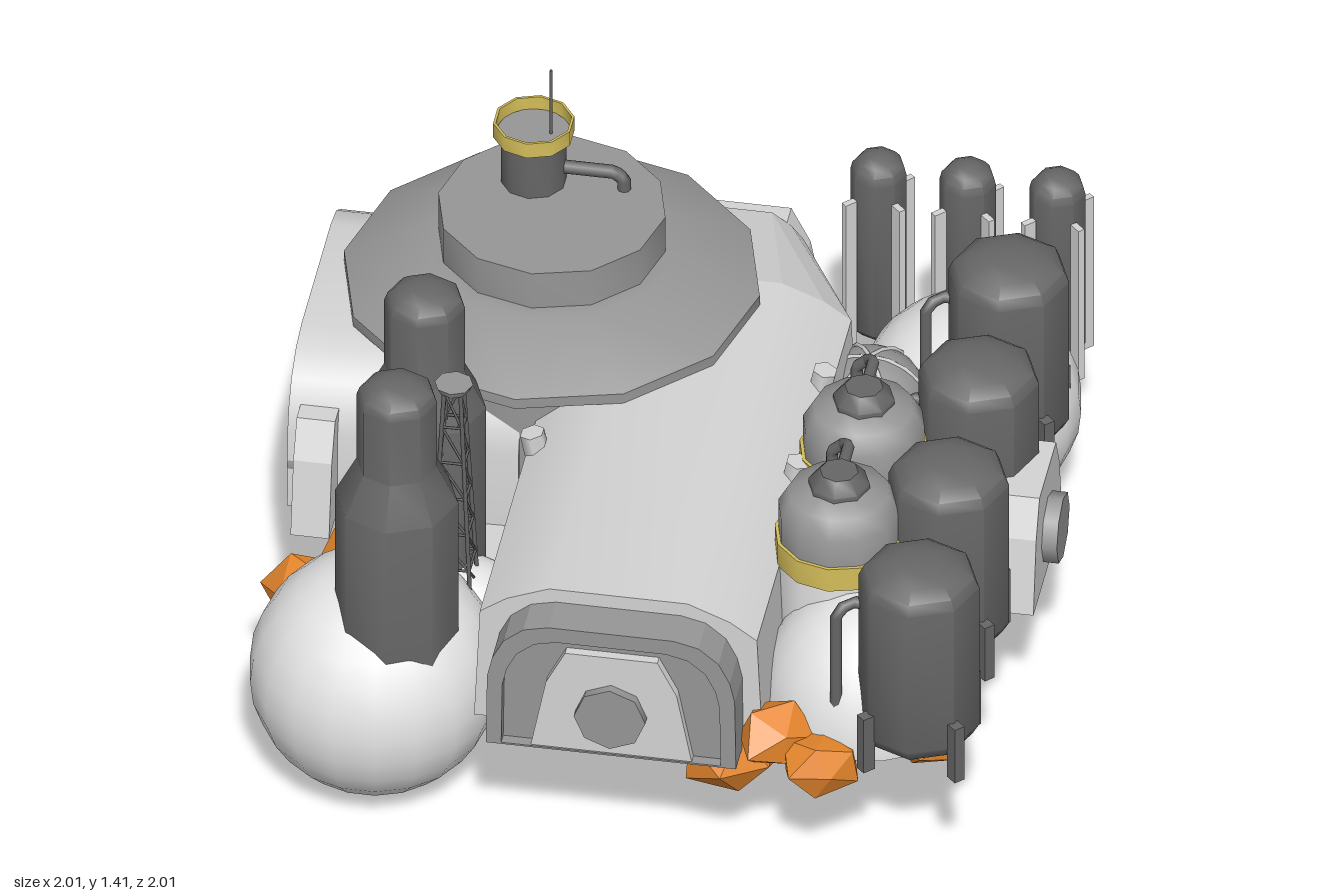
import * as THREE from 'three';
import { toCreasedNormals } from 'three/addons/utils/BufferGeometryUtils.js';

const mat = (name, color) => {
  const m = new THREE.MeshStandardMaterial({ color });
  m.name = name;
  return m;
};

export function createModel() {
  const white = mat('paleGrey', 0xe4e4e4);
  const light = mat('lightGrey', 0xd4d4d4);
  const mid = mat('midGrey', 0x969696);
  const dark = mat('darkGrey', 0x666666);
  const yellow = mat('yellow', 0xd4be5a);
  const orange = mat('orange', 0xe5862c);
  const root = new THREE.Group();

  const add = (name, geo, material, x = 0, y = 0, z = 0, parent = root) => {
    const m = new THREE.Mesh(geo, material);
    m.name = name;
    m.position.set(x, y, z);
    parent.add(m);
    return m;
  };
  const group = (name, x = 0, y = 0, z = 0) => {
    const g = new THREE.Group();
    g.name = name;
    g.position.set(x, y, z);
    root.add(g);
    return g;
  };
  // profile points are [radius, y] from bottom to top
  const lathe = (pts, sides) => toCreasedNormals(
    new THREE.LatheGeometry(pts.map(p => new THREE.Vector2(...p)), sides), 0.8);
  // rounded end of a tank, from its wall up to the axis
  const domeEnd = (r, y, h) => [0, 1, 2, 3, 4].map(i => {
    const a = i * Math.PI / 8;
    return [r * Math.cos(a), y + h * Math.sin(a)];
  });
  const pipe = (pts, r) => {
    const path = new THREE.CurvePath();
    const v = pts.map(p => new THREE.Vector3(...p));
    for (let i = 1; i < v.length; i++) path.add(new THREE.LineCurve3(v[i - 1], v[i]));
    return new THREE.TubeGeometry(path, (v.length - 1) * 6, r, 8);
  };
  const strut = (name, a, b, r, material, parent) => {
    const A = new THREE.Vector3(...a), d = new THREE.Vector3(...b).sub(A);
    const m = add(name, new THREE.CylinderGeometry(r, r, d.length(), 5), material, 0, 0, 0, parent);
    m.position.copy(A).addScaledVector(d, 0.5);
    m.quaternion.setFromUnitVectors(new THREE.Vector3(0, 1, 0), d.normalize());
  };
  const extrude = (shape, z0, z1) => new THREE.ExtrudeGeometry(shape,
    { depth: z1 - z0, bevelEnabled: false }).translate(0, 0, z0);
  // symmetric outline from right-hand points listed bottom to top
  const outline = pts => pts.concat(pts.slice().reverse().map(([x, y]) => [-x, y]))
    .map(p => new THREE.Vector2(...p));
  const arch = (w, top, base = 0.38) => {
    const h = top - base;
    return outline([[w, base], [w * 0.99, base + h * 0.55], [w * 0.95, base + h * 0.7],
      [w * 0.86, base + h * 0.85], [w * 0.7, base + h * 0.96], [w * 0.5, top]]);
  };

  // Main hall with a tapering rear
  const hallShape = new THREE.Shape(outline([[0.375, 0.38], [0.36, 0.715], [0.29, 0.765],
    [0.18, 0.81]]));
  add('hall', toCreasedNormals(extrude(hallShape, -0.5, 0.87), 0.5), light);
  const rear = extrude(hallShape, -0.91, -0.5);
  const rp = rear.attributes.position;
  for (let i = 0; i < rp.count; i++) {
    const t = (-0.5 - rp.getZ(i)) / 0.41;
    rp.setX(i, rp.getX(i) * (1 - 0.55 * t));
    rp.setY(i, 0.38 + (rp.getY(i) - 0.38) * (1 - 0.22 * t));
  }
  rear.computeVertexNormals();
  add('hallRear', rear, light);
  add('underside', lathe([[0, 0.295], [0.2, 0.3], [0.4, 0.325], [0.52, 0.39], [0, 0.4]], 24),
    light);
  const wing = extrude(new THREE.Shape(arch(0.42, 0.81)), 0.4, 1).rotateY(-Math.PI / 2);
  add('sideWing', toCreasedNormals(wing, 0.5), light, 0, 0, -0.33);

  // Front gate
  const frame = new THREE.Shape(arch(0.325, 0.77));
  frame.holes.push(new THREE.Path(arch(0.285, 0.725, 0.385)));
  add('gateFrame', extrude(frame, 0.87, 0.98), mid);
  add('gateRecess', extrude(new THREE.Shape(arch(0.3, 0.73)), 0.87, 0.95), mid);

  // Airlocks on all four sides
  const lockShape = new THREE.Shape(outline([[0.21, 0.38], [0.17, 0.59], [0.12, 0.69]]));
  [[0.975, 0], [0.97, Math.PI], [0.96, Math.PI / 2], [0.97, -Math.PI / 2]].forEach(([d, ry]) => {
    const g = group('airlock');
    add('airlockBlock', extrude(lockShape, d - 0.1, d), light, 0, 0, 0, g);
    add('airlockPort', new THREE.CylinderGeometry(0.093, 0.093, 1 - d + 0.02, 8)
      .rotateX(Math.PI / 2), mid, 0, 0.51, (1 + d - 0.02) / 2, g);
    g.rotation.y = ry;
  });
  add('rightPassage', new THREE.BoxGeometry(0.54, 0.16, 0.12), light, 0.62, 0.5, -0.07);

  // Round drum with dome roof and chimney
  const drum = group('drum', -0.4, 0, -0.4);
  add('drumWall', lathe([[0, 0.38], [0.47, 0.38], [0.47, 0.8]], 12), mid, 0, 0, 0, drum);
  add('drumRoof', lathe([[0.45, 0.79], [0.54, 0.81], [0.54, 0.84], [0.33, 0.95], [0.295, 0.95],
    [0.295, 1.06], [0, 1.06]], 12), mid, 0, 0, 0, drum);
  const chimney = group('chimney', -0.465, 0, -0.5);
  add('chimneyNeck', lathe([[0.085, 1.05], [0.085, 1.21]], 10), dark, 0, 0, 0, chimney);
  add('chimneyFloor', new THREE.CircleGeometry(0.098, 10).rotateX(-Math.PI / 2), mid,
    0, 1.213, 0, chimney);
  add('chimneyRing', lathe([[0.085, 1.2], [0.105, 1.205], [0.105, 1.25], [0.098, 1.25],
    [0.098, 1.2]], 10), yellow, 0, 0, 0, chimney);
  add('antenna', new THREE.CylinderGeometry(0.004, 0.004, 0.22, 6), dark, 0.045, 1.305, 0, chimney);
  add('chimneyPipe', pipe([[0.05, 1.11, 0], [0.21, 1.11, 0], [0.235, 1.09, 0], [0.235, 1.05, 0]],
    0.018), dark, 0, 0, 0, chimney);

  // Large spheres and half domes
  add('frontSphere', new THREE.SphereGeometry(0.325, 18, 14), white, -0.67, 0.325, 0.655);
  add('rearSphere', new THREE.SphereGeometry(0.29, 18, 14), white, 0.64, 0.38, -0.65);
  [[0.6, 0.6, 0.28, 0.33], [-0.5, -0.62, 0.28, 0.04], [-0.47, 0.42, 0.14, 0.14]]
    .forEach(([x, z, r, h]) => {
      const d = group('halfDome', x, 0.37, z);
      add('halfDomeShell', new THREE.SphereGeometry(r, 20, 8, 0, Math.PI * 2, 0, Math.PI / 2)
        .scale(1, h / r, 1), white, 0, 0, 0, d);
      add('halfDomeFloor', new THREE.CircleGeometry(r, 20).rotateX(Math.PI / 2), white, 0, 0, 0, d);
    });
  // Ribbed dome beside the hall
  const ribbed = group('ribbedDome', 0.42, 0.5, -0.43);
  add('ribbedDomeShell', new THREE.SphereGeometry(0.16, 16, 12), mid, 0, 0, 0, ribbed);
  for (let i = 0; i < 3; i++)
    add('domeRib', new THREE.TorusGeometry(0.161, 0.006, 5, 20).rotateY(i * Math.PI / 3), light,
      0, 0, 0, ribbed);

  // Tall towers
  for (const z of [0.33, 0.735])
    add('tower', lathe([[0, 0.4], [0.16, 0.4], [0.16, 0.95], [0.105, 1.06],
      ...domeEnd(0.105, 1.265, 0.06)], 8), dark, -0.6, 0, z);

  // Row of big tanks with feet and drop pipes
  for (const z of [-0.505, -0.07, 0.365, 0.8]) {
    const t = group('tank', 0.768, 0, z);
    add('tankBody', lathe([[0, 0.42], [0.1, 0.425], [0.14, 0.44], [0.157, 0.47],
      ...domeEnd(0.157, 0.91, 0.075)], 8), dark, 0, 0, 0, t);
    for (let i = 0; i < 4; i++) {
      const a = Math.PI / 4 + i * Math.PI / 2;
      add('tankFoot', new THREE.BoxGeometry(0.035, 0.17, 0.03).rotateY(-a), dark,
        Math.cos(a) * 0.165, 0.465, Math.sin(a) * 0.165, t);
    }
    add('tankPipe', pipe([[-0.13, 0.82, 0], [-0.18, 0.82, 0], [-0.21, 0.8, 0.03],
      [-0.21, 0.25, 0.03]], 0.016), dark, 0, 0, 0, t);
  }

  // Slim tanks at the rear with guard rods
  for (const x of [0.365, 0.597, 0.83]) {
    const t = group('slimTank', x, 0, -0.865);
    add('slimTankBody', lathe([[0, 0.41], [0.05, 0.415], [0.073, 0.44],
      ...domeEnd(0.073, 0.92, 0.06)], 8), dark, 0, 0, 0, t);
    for (let i = 0; i < 4; i++) {
      const a = Math.PI / 4 + i * Math.PI / 2;
      add('guardRod', new THREE.BoxGeometry(0.035, 0.48, 0.018).rotateY(-a), light,
        Math.cos(a) * 0.09, 0.62, Math.sin(a) * 0.09, t);
    }
  }

  // Banded tanks beside the hall; the front one has a narrower band
  for (const [z, low] of [[0.1, 0.66], [0.46, 0.71]]) {
    const t = group('bandedTank', 0.5, 0, z);
    add('bandedTankBase', lathe([[0, 0.39], [0.16, 0.39], [0.16, low]], 12), white, 0, 0, 0, t);
    add('bandedTankBand', lathe([[0.16, low], [0.167, low], [0.167, 0.78], [0.15, 0.78]], 12),
      yellow, 0, 0, 0, t);
    add('bandedTankTop', lathe([[0.158, 0.78], [0.158, 0.86], [0.13, 0.91], [0.07, 0.93]], 12),
      mid, 0, 0, 0, t);
    add('bandedTankCap', lathe([[0.08, 0.92], [0.08, 0.94], [0.05, 0.975], [0, 0.975]], 8),
      dark, 0, 0, 0, t);
    add('bandedTankPipe', pipe([[0, 0.95, 0], [0, 0.95, -0.14], [-0.02, 0.93, -0.17],
      [-0.05, 0.9, -0.175], [-0.05, 0.72, -0.175]], 0.016), dark, 0, 0, 0, t);
  }

  // Lattice mast
  const mast = group('latticeMast', -0.5, 0, 0.465);
  const corner = (i, k) => {
    const a = Math.PI / 4 + i * Math.PI / 2, r = 0.075 - 0.045 * k;
    return [Math.cos(a) * r, 0.45 + 0.66 * k, Math.sin(a) * r];
  };
  for (let i = 0; i < 4; i++) {
    strut('mastLeg', corner(i, 0), corner(i, 1), 0.006, dark, mast);
    for (let k = 0; k < 6; k++) {
      strut('mastBrace', corner(i, k / 6), corner(i + 1, (k + 1) / 6), 0.004, dark, mast);
      strut('mastRail', corner(i, k / 6), corner(i + 1, k / 6), 0.004, dark, mast);
    }
  }
  add('mastTop', new THREE.CylinderGeometry(0.05, 0.04, 0.02, 8), mid, 0, 1.115, 0, mast);

  // Roof lamps
  for (const [x, z] of [[-0.34, 0.19], [0.34, 0.19], [0.34, -0.2]])
    add('roofLamp', new THREE.CylinderGeometry(0.033, 0.033, 0.06, 6), light, x, 0.75, z)
      .rotation.z = -Math.sign(x) * 0.2;

  // Orange rocks: [x, y, z, radius, height factor]
  let seed = 7;
  const rnd = () => (seed = (seed * 16807) % 2147483647) / 2147483647;
  const rocks = [[-0.77, 0.4, -0.85, 0.165, 0.9], [-0.75, 0.36, 0.27, 0.16, 0.6],
    [-0.87, 0.4, 0.46, 0.13, 0.6], [-0.76, 0.37, 0.03, 0.13, 0.6], [-0.16, 0.36, 0.73, 0.14, 0.45],
    [0.28, 0.32, 0.82, 0.13, 0.85], [0.4, 0.41, 0.86, 0.105, 0.9], [0.53, 0.37, 0.89, 0.1, 0.8],
    [0.27, 0.39, -0.62, 0.14, 0.6], [0.56, 0.38, -0.21, 0.06, 0.7], [0.32, 0.33, 0.52, 0.13, 0.5],
    [0.62, 0.33, 0.45, 0.15, 0.6], [0.5, 0.32, 0.25, 0.12, 0.6], [0.78, 0.36, 0.72, 0.1, 0.6]];
  for (const [x, y, z, r, h] of rocks) {
    const g = new THREE.IcosahedronGeometry(r, 0), p = g.attributes.position, jitter = {};
    for (let i = 0; i < p.count; i++) {
      const key = [p.getX(i), p.getY(i), p.getZ(i)].map(v => Math.round(v * 1000)).join();
      const s = jitter[key] ??= 0.8 + rnd() * 0.4;
      p.setXYZ(i, p.getX(i) * s, p.getY(i) * s * h, p.getZ(i) * s);
    }
    g.rotateY(rnd() * 6);
    g.computeVertexNormals();
    add('rock', g, orange, x, y, z);
  }
  return root;
}
